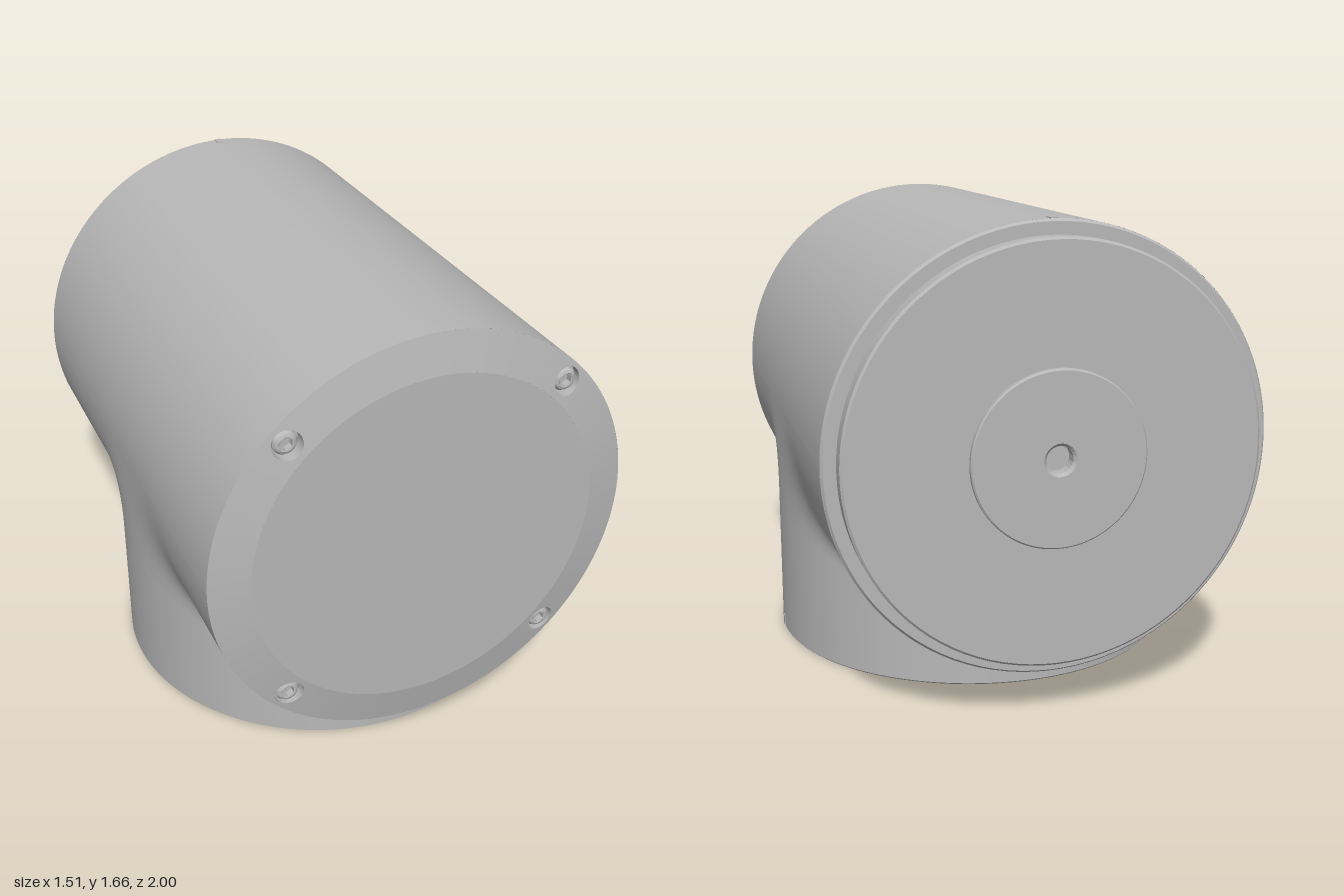
import * as THREE from 'three';
import { ParametricGeometry } from 'three/addons/geometries/ParametricGeometry.js';
import { toCreasedNormals } from 'three/addons/utils/BufferGeometryUtils.js';

const R = 0.753, YC = 0.905, ZC = 0.1; // tube radius, barrel axis height, base axis depth
const FRONT = 0.972, BACK = -0.907, FACE = 0.617; // barrel ends, flat front face radius
const BOLT = 0.687, BORE = 0.05, SPAN = 0.1; // bolt circle, counterbore radius, half angle of bolt patch
const PI = Math.PI;

export function createModel() {
  const model = new THREE.Group();
  const metal = new THREE.MeshStandardMaterial({ color: 0xb8b8b8, side: THREE.DoubleSide });
  metal.name = 'grey metal';

  const add = (name, geometry, parent = model) => {
    const mesh = new THREE.Mesh(geometry, metal);
    mesh.name = name;
    parent.add(mesh);
    return mesh;
  };
  // Smooth sheet from a rule returning [x, y, z]
  const sheet = (name, rule, nu, nv) => {
    const g = new ParametricGeometry((u, v, p) => p.set(...rule(u, v)), nu, nv);
    g.computeVertexNormals();
    return add(name, g);
  };
  // Turned part about the barrel axis, profile of [radius, z]
  const turned = (name, profile, start = 0, length = 2 * PI, segments = 96) => {
    const pts = profile.map(([r, z]) => new THREE.Vector2(r, z));
    const g = new THREE.LatheGeometry(pts, segments, start, length).rotateX(PI / 2);
    return add(name, toCreasedNormals(g, 0.4));
  };
  const lerp = THREE.MathUtils.lerp;

  // Barrel: plain upper half, lower half cut where it meets the base
  sheet('barrelTop', (u, v) => {
    const a = u * PI;
    return [R * Math.cos(a), YC + R * Math.sin(a), lerp(FRONT, BACK, v)];
  }, 72, 1);

  const blend = (t) => 0.02 + 0.28 * Math.abs(Math.sin(t)) ** 8;
  // Fillet curve from base wall to barrel, side = 1 front, -1 back
  const fillet = (t, s, side) => {
    const c = R * Math.cos(t), d = blend(t);
    return [R * Math.sin(t), YC - c - d * (1 - s) ** 2, ZC + side * (c + d * s * s)];
  };
  for (const side of [1, -1]) {
    const label = side > 0 ? 'Front' : 'Back';
    const end = side > 0 ? FRONT : BACK;
    const angle = (u) => (u - 0.5) * PI;
    sheet('barrelUnderside' + label, (u, v) => {
      const p = fillet(angle(u), 1, side);
      return [p[0], p[1], lerp(p[2], end, v)];
    }, 96, 4);
    sheet('fillet' + label, (u, v) => fillet(angle(u), v, side), 96, 10);
    sheet('baseWall' + label, (u, v) => {
      const p = fillet(angle(u), 0, side);
      return [p[0], lerp(0.006, p[1], v), p[2]];
    }, 96, 4);
    // Flat saddle between the two fillets
    sheet(side > 0 ? 'leftSaddle' : 'rightSaddle', (u, v) => {
      const f = fillet(PI / 2, v, 1), b = fillet(PI / 2, v, -1);
      return [side * R, f[1], lerp(f[2], b[2], u)];
    }, 4, 10);
  }

  // Back cover with stepped hub and centre hole
  const back = turned('backCover', [
    [0, -0.95], [0.045, -0.95], [0.045, -0.99], [0.055, -1], [0.29, -1], [0.295, -0.995],
    [0.295, -0.98], [0.695, -0.98], [0.703, -0.973], [0.703, -0.917], [0.745, -0.917], [R, BACK],
  ]);
  back.position.y = YC;

  // Front cover: flat disc and shallow cone with four bolt patches
  const coneZ = (r) => 1 - (r - FACE) / (R - FACE) * (1 - FRONT);
  turned('frontFace', [[FACE, 1], [0, 1]]).position.y = YC;
  for (let i = 0; i < 4; i++) {
    const mid = PI / 4 + i * PI / 2;
    turned('frontBevel', [[R, FRONT], [FACE, 1]], mid + PI / 2 + SPAN, PI / 2 - 2 * SPAN, 24).position.y = YC;

    // Point on the counterbore rim in polar form about the barrel axis
    const rim = (a) => {
      const x = BOLT + BORE * Math.cos(a), y = BORE * Math.sin(a);
      return [Math.hypot(x, y), Math.atan2(y, x)];
    };
    const place = (r, th, z) => [r * Math.cos(mid + th), YC + r * Math.sin(mid + th), z];
    sheet('boltPatch', (u, v) => {
      const a = u * 2 * PI, k = 1 / Math.max(Math.abs(Math.cos(a)), Math.abs(Math.sin(a)));
      const [r, th] = rim(a);
      const edgeR = lerp(FACE, R, (1 + k * Math.cos(a)) / 2);
      const q = [lerp(r, edgeR, v), lerp(th, SPAN * k * Math.sin(a), v)];
      return place(q[0], q[1], coneZ(q[0]));
    }, 48, 4);
    sheet('counterbore', (u, v) => {
      const [r, th] = rim(u * 2 * PI);
      return place(r, th, lerp(coneZ(r), 0.945, v));
    }, 48, 1);

    // Bolt head with hexagonal socket
    const bolt = new THREE.Group();
    bolt.name = 'bolt';
    const head = [[0.05, 0.945], [0.041, 0.945], [0.041, 0.966], [0.035, 0.975], [0.026, 0.979]];
    bolt.add(turned('boltHead', head, 0, 2 * PI, 32));
    bolt.add(turned('boltSocket', [[0.027, 0.979], [0.022, 0.978], [0.022, 0.955], [0, 0.955]], 0, 2 * PI, 6));
    bolt.position.set(BOLT * Math.cos(mid), YC + BOLT * Math.sin(mid), 0);
    model.add(bolt);
  }

  // Base rim: foot edge and recessed lip
  const rimPts = [[R, 0.006], [0.747, 0], [0.705, 0], [0.7, 0.005], [0.7, 0.05]]
    .map(([r, y]) => new THREE.Vector2(r, y));
  add('baseRim', toCreasedNormals(new THREE.LatheGeometry(rimPts, 96), 0.4)).position.z = ZC;

  // Spoked plate with twelve windows, screw holes and a centre opening
  const plate = new THREE.Shape().absarc(0, 0, 0.705, 0, 2 * PI);
  const cut = (x, y, r) => plate.holes.push(new THREE.Path().absarc(x, y, r, 0, 2 * PI, true));
  cut(0, 0, 0.3);
  const half = [[0.42, 8.5], [0.54, 10.5], [0.59, 8.5], [0.635, 8.5], [0.675, 11]];
  const outline = [...half, ...half.map(([r, a]) => [r, -a]).reverse()];
  for (let i = 0; i < 12; i++) {
    const mid = i * PI / 6 + PI / 12;
    plate.holes.push(new THREE.Path(outline.map(([r, a]) => {
      const th = mid + a * PI / 180;
      return new THREE.Vector2(r * Math.cos(th), r * Math.sin(th));
    })));
    const th = mid + PI / 12;
    cut(0.635 * Math.cos(th), 0.635 * Math.sin(th), 0.014);
  }
  const spokes = new THREE.ExtrudeGeometry(plate, { depth: 0.2, bevelEnabled: false, curveSegments: 48 });
  add('spokedPlate', toCreasedNormals(spokes.rotateX(-PI / 2), 0.5)).position.set(0, 0.045, ZC);
  add('cavityFloor', new THREE.CircleGeometry(0.7, 64).rotateX(PI / 2)).position.set(0, 0.244, ZC);
  // Stepped ring inside the centre opening
  const step = new THREE.RingGeometry(0.26, 0.3, 64).rotateX(PI / 2);
  add('centreStep', step).position.set(0, 0.12, ZC);

  // Small alignment marks
  const mark = (w, h, d, x, y, z) =>
    add('alignmentMark', new THREE.BoxGeometry(w, h, d)).position.set(x, y, z);
  mark(0.026, 0.006, 0.04, 0, YC + R, -0.887);
  mark(0.026, 0.006, 0.04, 0, YC - R, -0.887);
  mark(0.006, 0.04, 0.026, R, 0.026, ZC);

  return model;
}
